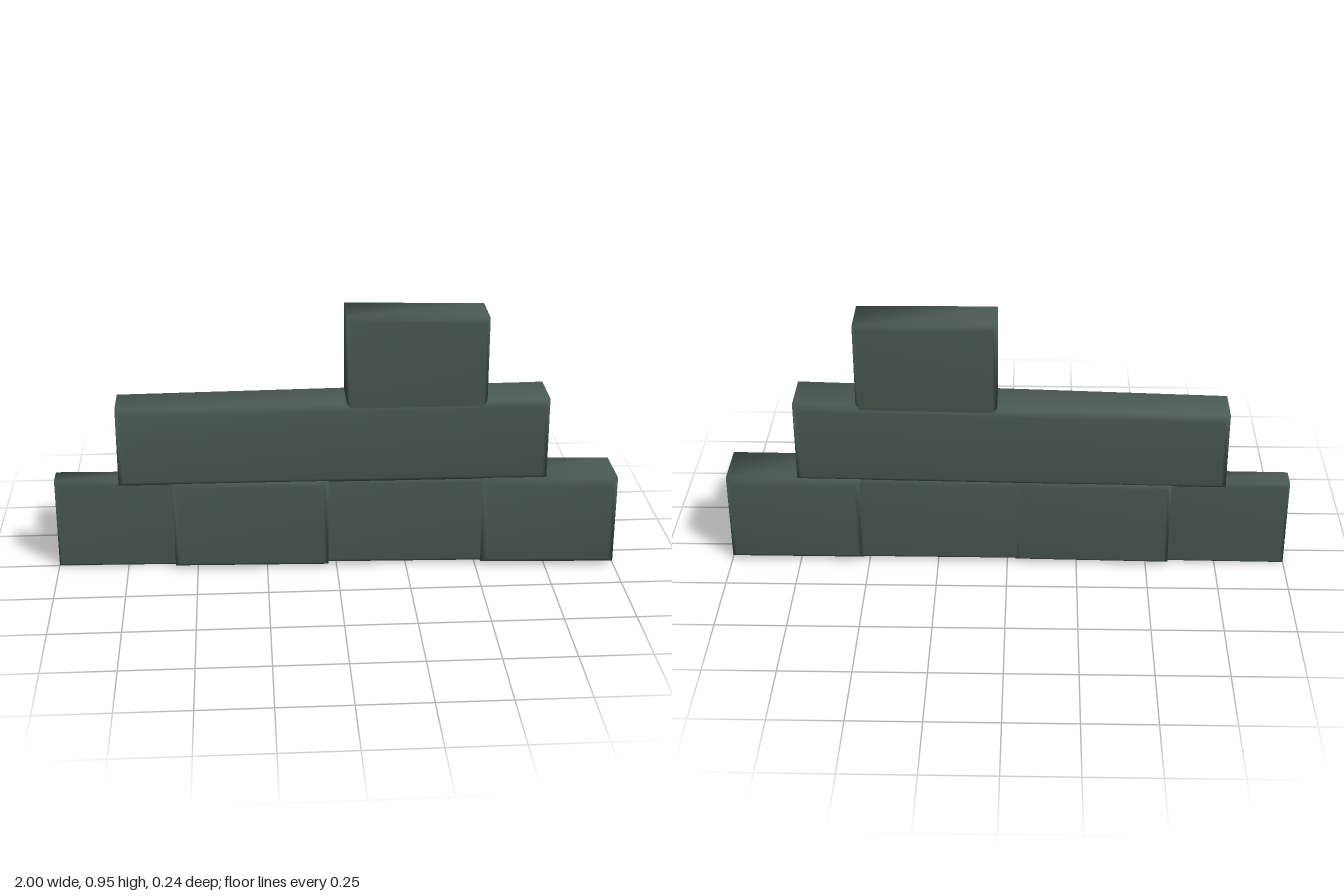
import * as THREE from 'three';

// Chamfered, slightly skewed stone. Each pair gives [value at x0, value at x1].
function stoneGeometry({ x, bottom, top, back, front, c = 0.016 }) {
  const pos = [], idx = [];
  const depth = [[0, c, 0], [c, 0, 0], [c, 0, 1], [0, c, 1]]; // [z step, inset, side]
  for (const [dz, inset, side] of depth) {
    for (const [i, j] of [[0, 0], [1, 0], [1, 1], [0, 1]]) {
      pos.push(
        x[i] + (i ? -inset : inset),
        j ? top[i] - inset : bottom[i] + inset,
        side ? front[i] - dz : back[i] + dz
      );
    }
  }
  // sides between neighbouring loops
  for (let r = 0; r < 3; r++) {
    for (let k = 0; k < 4; k++) {
      const a = r * 4 + k, b = r * 4 + (k + 1) % 4;
      idx.push(a, b, b + 4, a, b + 4, a + 4);
    }
  }
  // back and front faces
  idx.push(0, 2, 1, 0, 3, 2, 12, 13, 14, 12, 14, 15);
  const g = new THREE.BufferGeometry();
  g.setAttribute('position', new THREE.Float32BufferAttribute(pos, 3));
  g.setIndex(idx);
  g.computeVertexNormals();
  return g;
}

export function createModel() {
  const group = new THREE.Group();
  const stone = new THREE.MeshStandardMaterial({ color: 0x4b5a54 });
  stone.name = 'dark green stone';

  const stones = {
    // bottom course
    baseStoneFarRight: { x: [-1, -0.57], bottom: [0.005, 0.005], top: [0.34, 0.335], back: [-0.09, -0.085], front: [0.01, 0.025], c: 0.012 },
    baseStoneRight: { x: [-0.58, -0.03], bottom: [0.015, 0.015], top: [0.345, 0.345], back: [-0.115, -0.105], front: [0.06, 0.08] },
    baseStoneLeft: { x: [-0.05, 0.54], bottom: [0.015, 0.012], top: [0.345, 0.345], back: [-0.1, -0.095], front: [0.06, 0.075] },
    baseStoneFarLeft: { x: [0.52, 1], bottom: [0.015, 0.012], top: [0.35, 0.343], back: [-0.11, -0.105], front: [0.1, 0.118], c: 0.022 },
    // middle course
    middleStone: { x: [-0.77, 0.745], bottom: [0.335, 0.345], top: [0.625, 0.645], back: [-0.12, -0.105], front: [0.06, 0.102], c: 0.02 },
    // upright stone on top
    topStone: { x: [0.035, 0.525], bottom: [0.6, 0.6], top: [0.955, 0.945], back: [-0.102, -0.098], front: [0.076, 0.09], c: 0.014 },
  };

  for (const [name, spec] of Object.entries(stones)) {
    const mesh = new THREE.Mesh(stoneGeometry(spec), stone);
    mesh.name = name;
    group.add(mesh);
  }
  return group;
}
